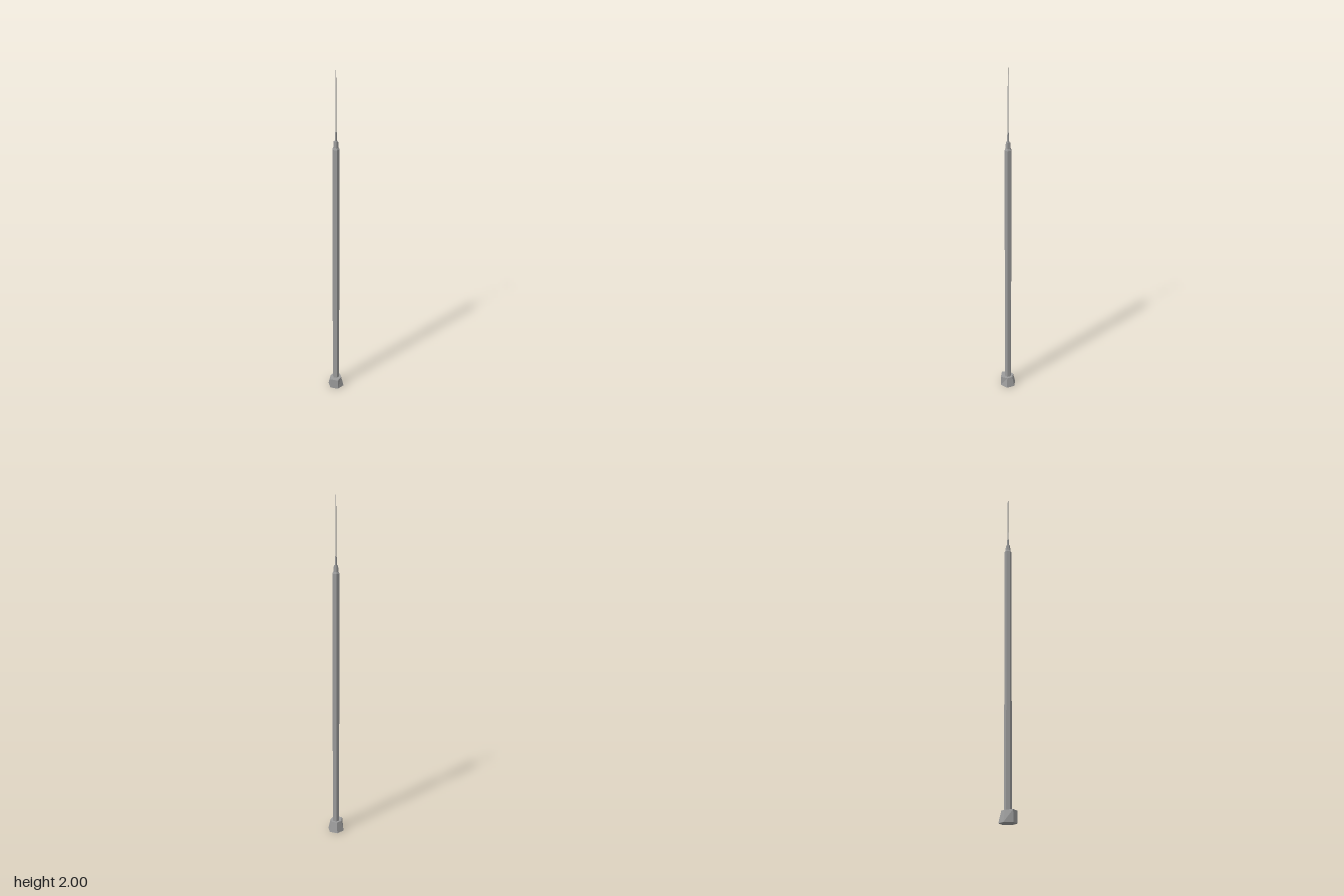
import * as THREE from 'three';

const material = new THREE.MeshStandardMaterial({ color: 0x9c9c9c, flatShading: true });

// Six-sided frustum between two heights, with corners on the x axis
function hexSection(name, y0, y1, r0, r1, open = false) {
  const geometry = new THREE.CylinderGeometry(r1, r0, y1 - y0, 6, 1, open, Math.PI / 6);
  geometry.translate(0, (y0 + y1) / 2, 0);
  const mesh = new THREE.Mesh(geometry, material);
  mesh.name = name;
  return mesh;
}

export function createModel() {
  const group = new THREE.Group();
  group.name = 'mast';

  // Foot: tapers upward on every side except the upright front face
  const foot = hexSection('foot', 0, 0.06, 0.046, 0.032);
  const p = foot.geometry.attributes.position;
  for (let i = 0; i < p.count; i++) {
    if (p.getY(i) > 0.05 && p.getZ(i) > 0.01) {
      p.setX(i, Math.sign(p.getX(i)) * 0.023);
      p.setZ(i, 0.0398);
    }
  }
  foot.geometry.computeVertexNormals();
  group.add(foot);

  // Pole and its stepped head, with flat ledges around the socket and antenna
  group.add(
    hexSection('pole', 0.06, 1.485, 0.019, 0.019, true),
    hexSection('poleShoulder', 1.485, 1.495, 0.019, 0.014, true),
    hexSection('headCap', 1.495, 1.527, 0.014, 0.0115),
    hexSection('antennaSocket', 1.527, 1.575, 0.0055, 0.004),
    // Needle-thin antenna
    hexSection('antenna', 1.575, 2, 0.0028, 0.0005)
  );
  return group;
}
